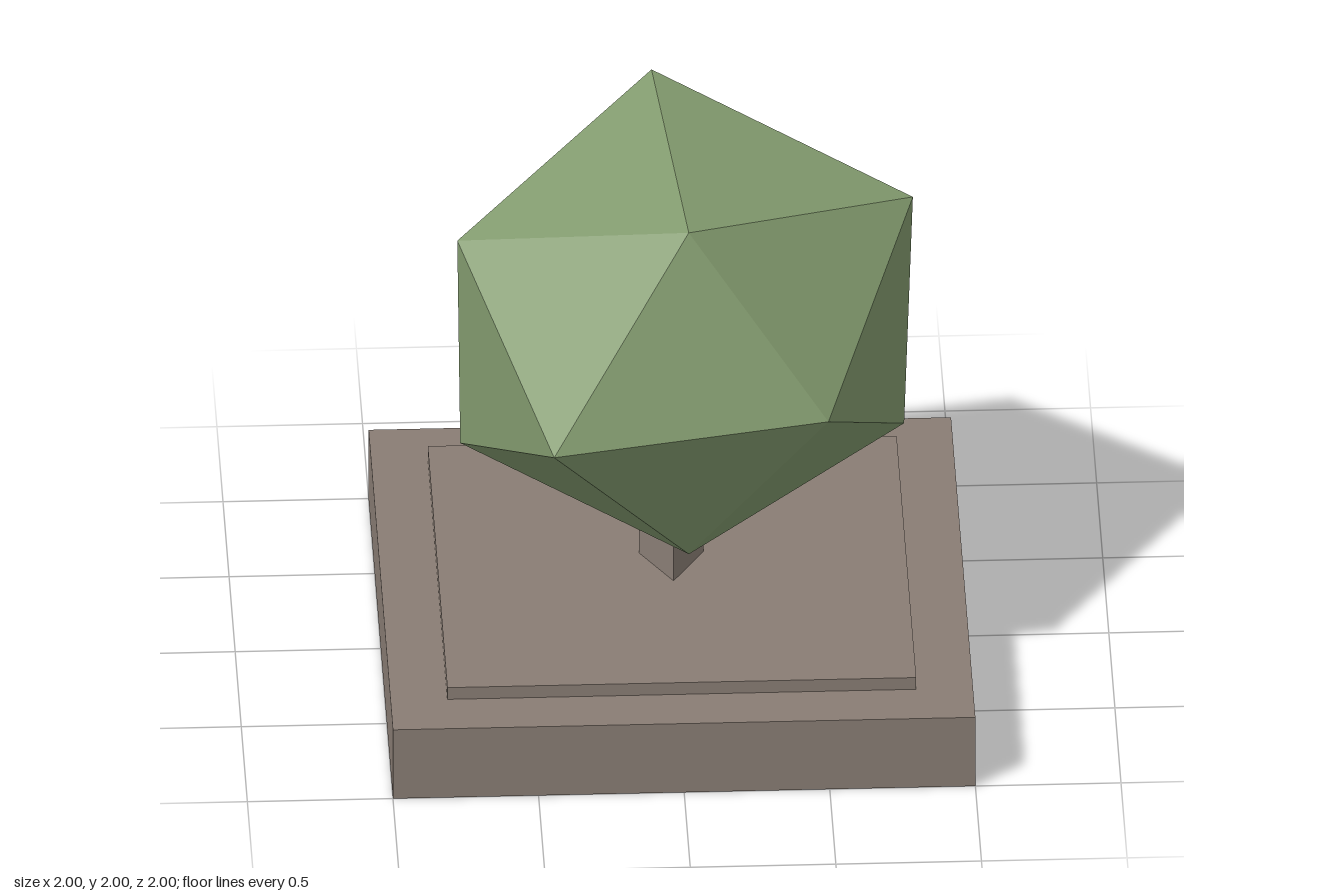
import * as THREE from 'three';
import { ConvexGeometry } from 'three/addons/geometries/ConvexGeometry.js';

// Box without its underside, standing on height y
function openBox(name, size, y, height, material) {
  const geometry = new THREE.BoxGeometry(size, height, size);
  const index = Array.from(geometry.index.array);
  index.splice(18, 6);
  geometry.setIndex(index);
  geometry.clearGroups();
  geometry.translate(0, y + height / 2, 0);
  const mesh = new THREE.Mesh(geometry, material);
  mesh.name = name;
  return mesh;
}

export function createModel() {
  const model = new THREE.Group();
  model.name = 'pottedShrub';

  const stone = new THREE.MeshStandardMaterial({ name: 'warm grey', color: 0x897d74, side: THREE.DoubleSide });
  const leaf = new THREE.MeshStandardMaterial({ name: 'leaf green', color: 0x829a6e, flatShading: true });

  // Hollow planter and the raised soil slab on it
  model.add(openBox('planter', 2, 0, 0.275, stone));
  model.add(openBox('soilSlab', 1.61, 0.275, 0.047, stone));

  // Three-sided trunk, one edge to the front
  const trunkGeometry = new THREE.CylinderGeometry(0.127, 0.127, 0.48, 3).toNonIndexed();
  trunkGeometry.computeVertexNormals();
  const trunk = new THREE.Mesh(trunkGeometry, stone);
  trunk.name = 'trunk';
  trunk.position.y = 0.56;
  model.add(trunk);

  // Foliage: a slightly irregular, turned icosahedron
  const corners = [
    [-0.05, 2.0, -0.49], [0.04, 1.89, 0.42],
    [0.83, 1.72, -0.07], [-0.74, 1.665, 0.065],
    [0.41, 1.26, -0.8], [-0.55, 1.26, -0.71],
    [-0.44, 1.26, 0.85], [0.51, 1.26, 0.65],
    [0.8, 0.815, -0.07], [-0.73, 0.855, 0.065],
    [0.04, 0.61, 0.43], [-0.05, 0.535, -0.48],
  ].map((p) => new THREE.Vector3(...p));
  const foliage = new THREE.Mesh(new ConvexGeometry(corners), leaf);
  foliage.name = 'foliage';
  model.add(foliage);

  return model;
}
